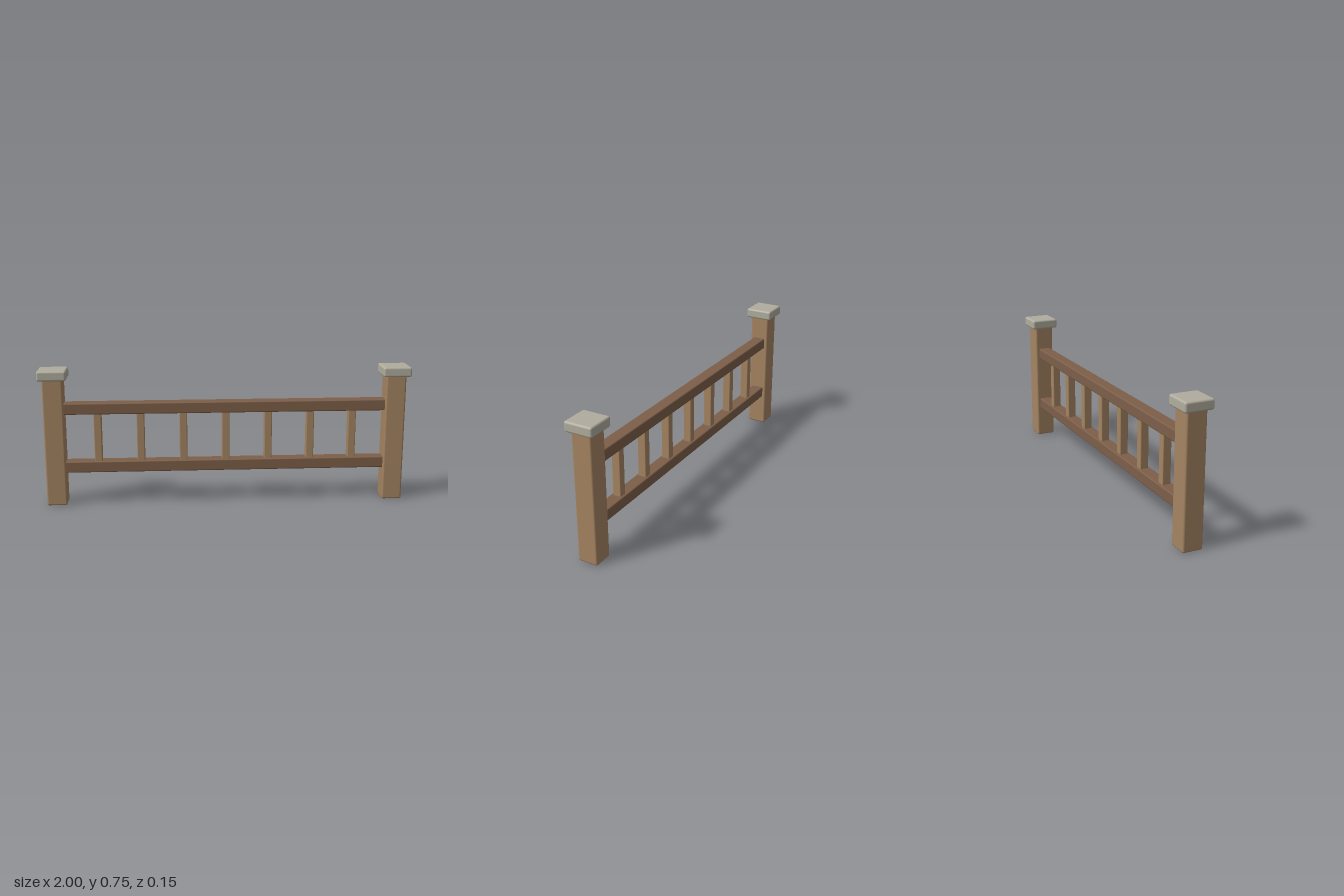
import * as THREE from 'three';
import { RoundedBoxGeometry } from 'three/addons/geometries/RoundedBoxGeometry.js';

export function createModel() {
  const model = new THREE.Group();
  model.name = 'fence';

  const wood = new THREE.MeshStandardMaterial({ color: 0xa58462 });
  const darkWood = new THREE.MeshStandardMaterial({ color: 0x7d5f49 });
  const stone = new THREE.MeshStandardMaterial({ color: 0xb0ad9e });

  // Rounded block standing on y = bottom
  function block(name, material, [w, h, d], x, bottom, radius) {
    const mesh = new THREE.Mesh(new RoundedBoxGeometry(w, h, d, 2, radius), material);
    mesh.name = name;
    mesh.position.set(x, bottom + h / 2, 0);
    model.add(mesh);
  }

  // End posts with overhanging caps
  for (const [side, sign] of [['left', 1], ['right', -1]]) {
    block(side + 'Post', wood, [0.109, 0.71, 0.109], sign * 0.923, 0, 0.01);
    block(side + 'Cap', stone, [0.154, 0.054, 0.154], sign * 0.923, 0.693, 0.011);
  }

  // Horizontal rails, let into the posts
  block('lowerRail', darkWood, [1.78, 0.062, 0.07], 0, 0.179, 0.007);
  block('upperRail', darkWood, [1.78, 0.062, 0.07], 0, 0.502, 0.007);

  // Seven balusters between the rails
  for (let i = -3; i <= 3; i++) {
    block('baluster' + (i + 4), wood, [0.042, 0.285, 0.046], i * 0.231, 0.228, 0.005);
  }

  return model;
}
